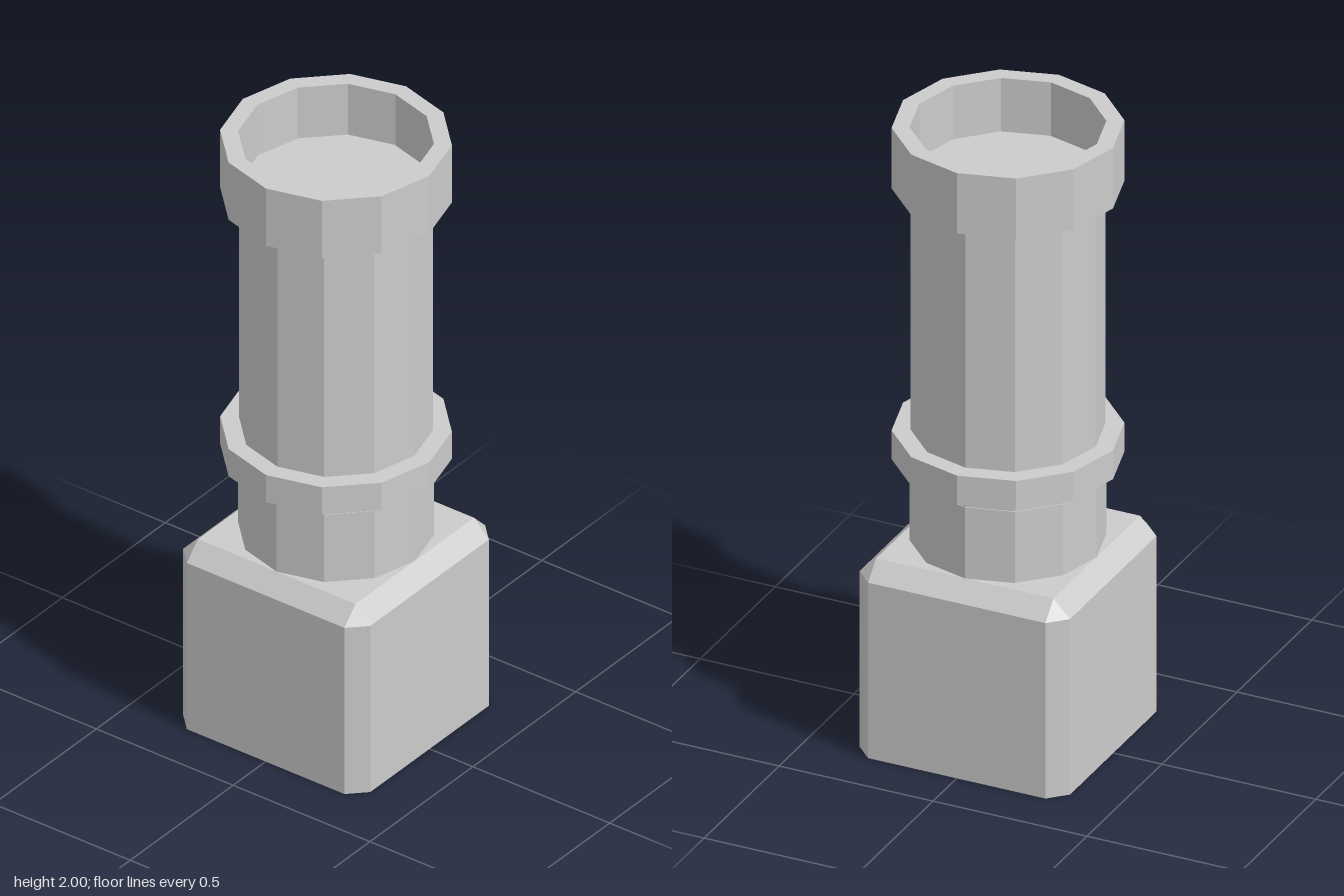
import * as THREE from 'three';
import { ConvexGeometry } from 'three/addons/geometries/ConvexGeometry.js';

const SIDES = 12;
const material = new THREE.MeshStandardMaterial({ color: 0xcccccc, flatShading: true });

export function createModel() {
  const model = new THREE.Group();
  const add = (name, geometry, y = 0) => {
    const mesh = new THREE.Mesh(geometry, material);
    mesh.name = name;
    mesh.position.y = y;
    model.add(mesh);
  };
  const column = (name, radius, y0, y1) =>
    add(name, new THREE.CylinderGeometry(radius, radius, y1 - y0, SIDES), (y0 + y1) / 2);
  // Closed ring with a rectangular section, traced counter-clockwise
  const ring = (name, inner, outer, y0, y1) => {
    const section = [[inner, y0], [outer, y0], [outer, y1], [inner, y1], [inner, y0]];
    add(name, new THREE.LatheGeometry(section.map(([r, y]) => new THREE.Vector2(r, y)), SIDES));
  };

  // Block with chamfered uprights and a chamfered top
  const half = 0.342, inset = 0.288;
  const corners = [];
  for (const sx of [-1, 1]) {
    for (const sz of [-1, 1]) {
      for (const y of [0, 0.58]) {
        corners.push(new THREE.Vector3(sx * half, y, sz * inset));
        corners.push(new THREE.Vector3(sx * inset, y, sz * half));
      }
      corners.push(new THREE.Vector3(sx * inset, 0.635, sz * inset));
    }
  }
  add('baseBlock', new ConvexGeometry(corners));

  // Stacked pipe sections
  column('lowerPipe', 0.288, 0.62, 0.87);
  column('upperPipe', 0.285, 0.86, 1.825);

  // Collar and open rim
  ring('collar', 0.28, 0.341, 0.905, 1.0);
  ring('topRim', 0.288, 0.341, 1.8, 2.0);

  return model;
}
